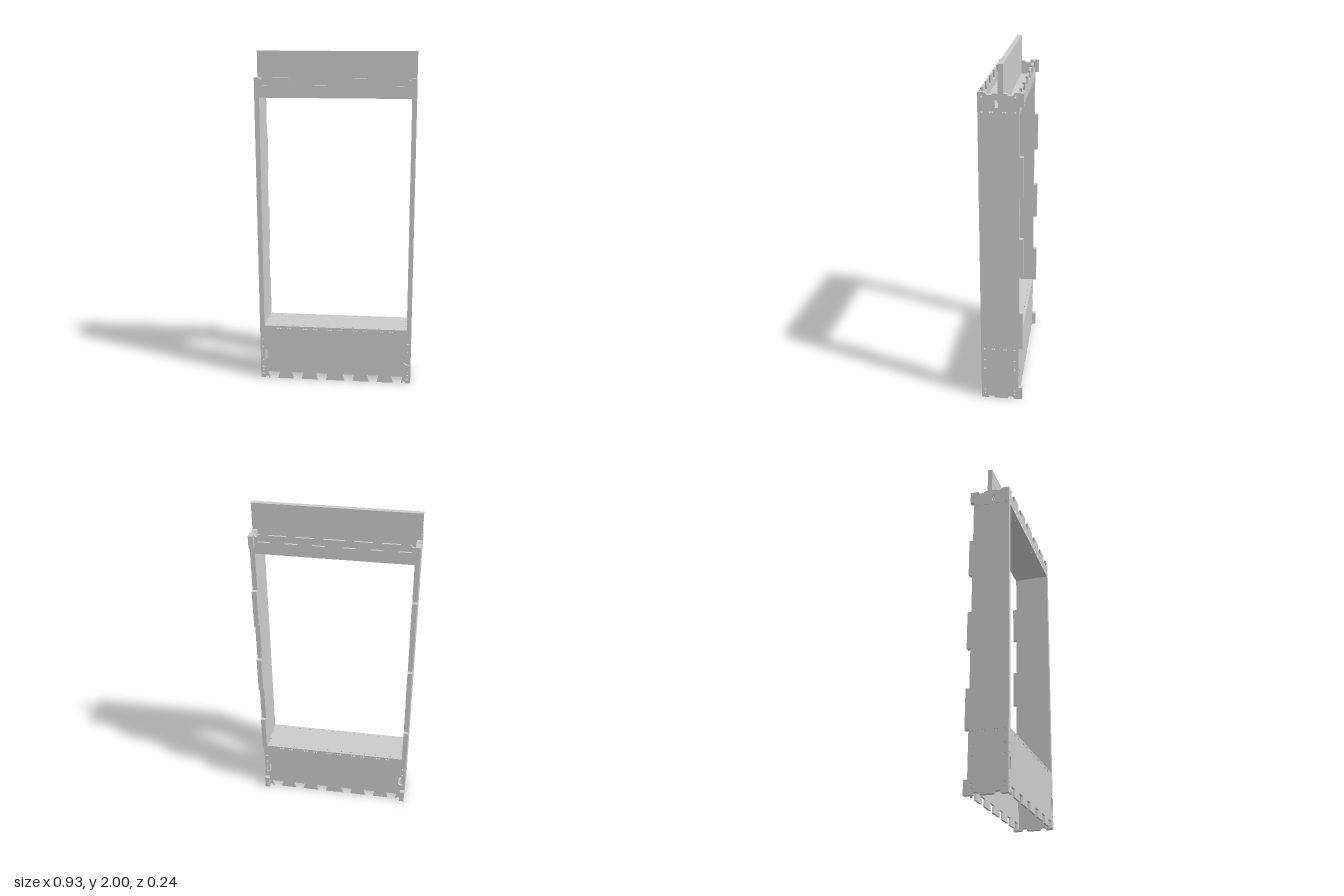
import * as THREE from 'three';

const material = new THREE.MeshStandardMaterial({ color: 0xcccccc });
const W = 0.465, INNER = 0.437, T = 0.027;   // half width, inside half width, thick board
const FRONT = 0.12, FRONT_IN = 0.108, BACK = -0.1, BACK_IN = -0.088;
const TOP = 1.853, SILL = 0.347, HEAD = 1.74;
const NOTCHES = [-0.383, -0.234, -0.083, 0.083, 0.234, 0.383];
const SCREWS = [0.032, 0.122, 0.185, 0.285, 0.345];
const PEGS = [0.045, 0.105, 0.195, 0.265, 0.36];

const toPath = (points, Kind = THREE.Path) => new Kind(points.map(([x, y]) => new THREE.Vector2(x, y)));

function round(shape, x, y, r = 0.006) {
  const h = new THREE.Path();
  h.absarc(x, y, r, 0, Math.PI * 2, true);
  shape.holes.push(h);
}

function board(name, shape, depth, place) {
  const geo = new THREE.ExtrudeGeometry(shape, { depth, bevelEnabled: false, curveSegments: 4 });
  place(geo);
  const mesh = new THREE.Mesh(geo, material);
  mesh.name = name;
  return mesh;
}

// Row of dovetail notches cut in an edge at height y, going dir = +1 up or -1 down into the board
function dovetailEdge(y, dir) {
  const pts = [];
  const end = y + dir * 0.012, deep = y + dir * 0.043;
  pts.push([-0.437, y], [-0.43, end], [-0.42, end], [-0.415, y]);
  for (const c of NOTCHES) {
    const lo = c - 0.025, hi = c + 0.025;
    pts.push([lo, y], [lo - 0.011, deep], [hi + 0.011, deep], [hi, y]);
  }
  pts.push([0.415, y], [0.42, end], [0.43, end], [0.437, y]);
  return pts;
}

// Bottom panel: dovetails below, key holes near the ends, screw holes
function lowerPanel(isBack) {
  const corner = isBack ? [[INNER, 0.08], [W, 0.08]] : [[W, 0]];
  const shape = toPath([
    ...dovetailEdge(0, 1), ...corner, [W, SILL], [-W, SILL],
    ...corner.slice().reverse().map(([x, y]) => [-x, y])
  ], THREE.Shape);
  for (const s of [-1, 1]) {
    shape.holes.push(toPath([[0.422, 0.132], [0.43, 0.124], [0.453, 0.116], [0.453, 0.188],
      [0.43, 0.192], [0.422, 0.18]].map(([x, y]) => [s * x, y])));
    for (const y of isBack ? [0.21, 0.26] : [0.03, 0.055, 0.075, 0.21, 0.26]) round(shape, s * 0.447, y);
    for (const x of SCREWS) for (const d of [-0.008, 0.008]) round(shape, s * x + d, 0.333);
  }
  return shape;
}

// Top panel: dovetails above and screw holes
function upperPanel(isBack) {
  const corner = isBack ? [[INNER, 1.78], [W, 1.78]] : [[W, TOP]];
  const shape = toPath([
    ...dovetailEdge(TOP, -1), ...corner, [W, HEAD], [-W, HEAD],
    ...corner.slice().reverse().map(([x, y]) => [-x, y])
  ], THREE.Shape);
  for (const s of [-1, 1]) {
    if (!isBack) for (const y of [1.783, 1.808, 1.83]) round(shape, s * 0.448, y);
    for (const x of SCREWS) for (const d of [-0.008, 0.008]) round(shape, s * x + d, 1.755);
  }
  return shape;
}

// Side board outline in (z, y): front rebates for the panels, back edge with tabs
function sideShape() {
  const tab = -0.122;
  const pts = [
    [FRONT_IN, 0], [FRONT_IN, SILL], [FRONT, SILL], [FRONT, HEAD], [FRONT_IN, HEAD], [FRONT_IN, TOP],
    [0.078, TOP], [0.073, 1.84], [0.045, 1.84], [0.04, TOP - 0.006], [0.013, TOP - 0.006],
    [0.013, 1.815], [-0.015, 1.815], [-0.015, TOP - 0.006], [-0.035, TOP - 0.006],
    [-0.04, 1.838], [-0.068, 1.838], [-0.073, TOP], [tab, TOP], [tab, 1.78], [BACK_IN, 1.78], [BACK_IN, HEAD], [BACK, HEAD]
  ];
  for (const [lo, hi] of [[1.28, 1.51], [0.815, 1.04], [0.347, 0.58]])
    pts.push([BACK, hi], [tab, hi], [tab, lo], [BACK, lo]);
  pts.push([BACK_IN, SILL], [BACK_IN, 0.08], [tab, 0.08], [tab, 0],
    [-0.073, 0], [-0.068, 0.013], [-0.04, 0.013], [-0.035, 0],
    [0.04, 0], [0.045, 0.013], [0.073, 0.013], [0.078, 0]);
  const shape = toPath(pts, THREE.Shape);
  shape.holes.push(toPath([[0.013, 1.772], [0.03, 1.772], [0.03, 1.812], [0.018, 1.812], [0.018, 1.8], [0.013, 1.8]]));
  for (const z of [0.055, 0.042, -0.014, -0.027])
    for (const y of [0.335, 1.75]) round(shape, z, y, 0.005);
  for (const z of [0.098, -0.078])
    for (const y of [0.03, 0.055, 0.2, 0.26, 0.335, 1.75, 1.83]) round(shape, z, y, 0.005);
  return shape;
}

// Shelf in (x, z) with small square peg slots along its edges
function shelfShape() {
  const shape = toPath([[-INNER, BACK_IN], [INNER, BACK_IN], [INNER, FRONT_IN], [-INNER, FRONT_IN]], THREE.Shape);
  const slot = (x, z) => shape.holes.push(toPath(
    [[x - 0.004, z - 0.004], [x - 0.004, z + 0.004], [x + 0.004, z + 0.004], [x + 0.004, z - 0.004]]));
  for (const s of [-1, 1]) {
    for (const x of PEGS) for (const z of [FRONT_IN - 0.005, BACK_IN + 0.005]) slot(s * x, z);
    for (const z of [-0.028, 0.048]) slot(s * (INNER - 0.005), z);
  }
  return shape;
}

export function createModel() {
  const group = new THREE.Group();
  group.name = 'frame';

  // Front and back panels
  for (const isBack of [false, true]) {
    const side = isBack ? 'back' : 'front';
    const place = g => g.translate(0, 0, isBack ? BACK : FRONT_IN);
    group.add(board(side + 'LowerPanel', lowerPanel(isBack), 0.012, place));
    group.add(board(side + 'UpperPanel', upperPanel(isBack), 0.012, place));
  }

  // Side boards
  for (const [name, x] of [['leftSide', W], ['rightSide', -INNER]])
    group.add(board(name, sideShape(), W - INNER, g => g.rotateY(-Math.PI / 2).translate(x, 0, 0)));

  // Sill and head shelves
  for (const [name, y] of [['sillShelf', SILL], ['headShelf', HEAD + T]])
    group.add(board(name, shelfShape(), T, g => g.rotateX(Math.PI / 2).translate(0, y, 0)));

  // Upright board slotted into the sides above the head shelf
  const sign = toPath([[-INNER, HEAD + T], [INNER, HEAD + T], [INNER, 1.815], [W, 1.815],
    [W, 2], [-W, 2], [-W, 1.815], [-INNER, 1.815]], THREE.Shape);
  group.add(board('topBoard', sign, 0.028, g => g.translate(0, 0, -0.015)));
  return group;
}
